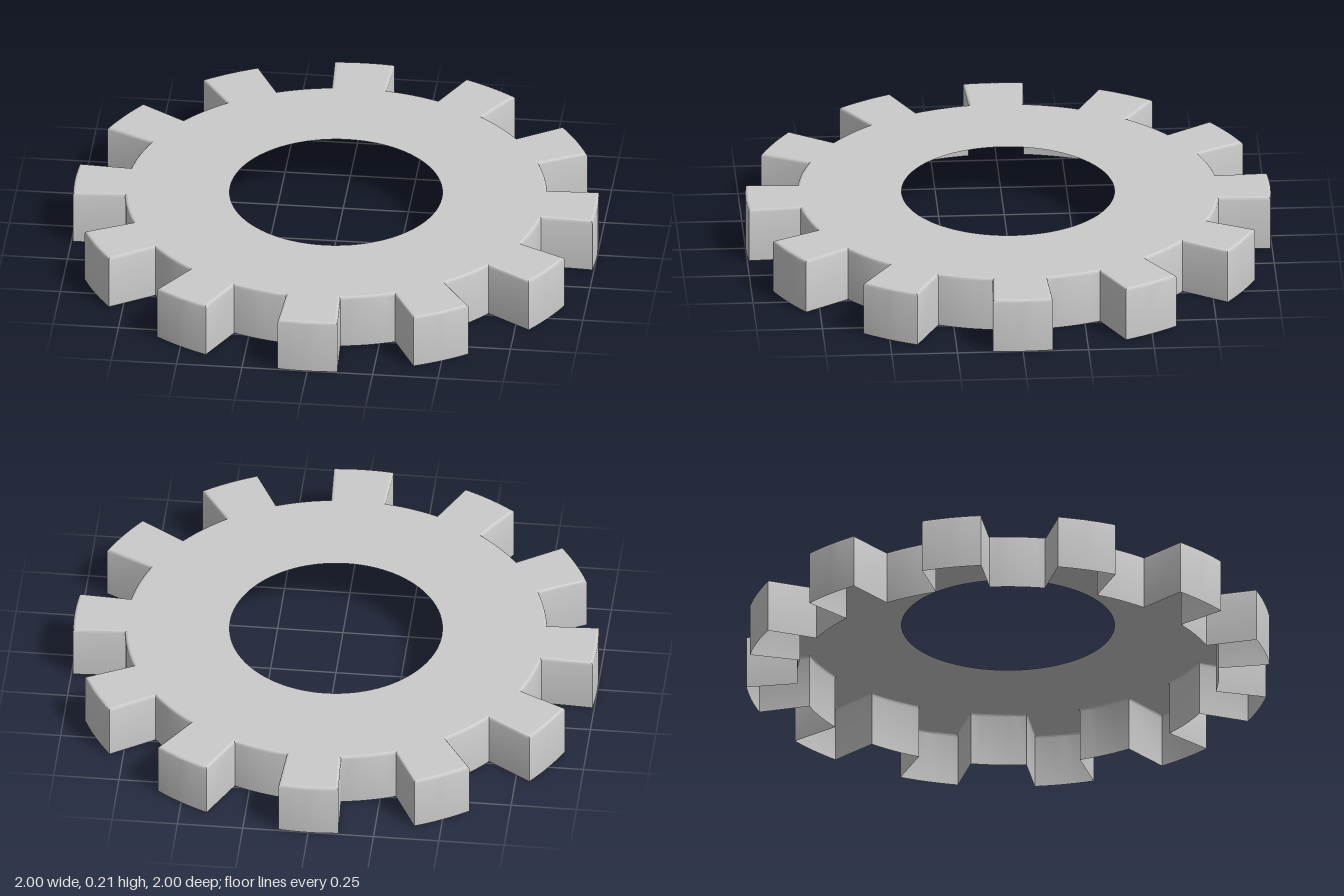
import * as THREE from 'three';
import { toCreasedNormals } from 'three/addons/utils/BufferGeometryUtils.js';

const TEETH = 12, TIP_R = 1, ROOT_R = 0.803, HOLE_R = 0.405, HEIGHT = 0.213, BEVEL = 0.01;
const TIP_HALF = 0.115, ROOT_HALF = 0.13; // half angles of a tooth at tip and root

// Gear outline, counter-clockwise, drawn in by an inset
function outline(inset) {
  const pts = [];
  const arc = (r, from, to, steps) => {
    for (let i = 0; i <= steps; i++) {
      const a = from + (to - from) * i / steps;
      pts.push(new THREE.Vector2(r * Math.cos(a), r * Math.sin(a)));
    }
  };
  const pitch = 2 * Math.PI / TEETH;
  const tip = TIP_R - inset, root = ROOT_R - inset;
  const tipHalf = TIP_HALF - inset / tip, rootHalf = ROOT_HALF - inset / root;
  for (let t = 0; t < TEETH; t++) {
    const mid = t * pitch;
    arc(tip, mid - tipHalf, mid + tipHalf, 6);
    arc(root, mid + rootHalf, mid + pitch - rootHalf, 6);
  }
  return pts;
}

// Rim wall lofted from the open bottom to the rounded top edge
function rimGeometry() {
  const rings = [{ y: 0, pts: outline(0) }];
  for (let i = 0; i <= 3; i++) {
    const a = i / 3 * Math.PI / 2;
    rings.push({ y: HEIGHT - BEVEL * (1 - Math.sin(a)), pts: outline(BEVEL * (1 - Math.cos(a))) });
  }
  const n = rings[0].pts.length, pos = [], index = [];
  for (const { y, pts } of rings) for (const p of pts) pos.push(p.x, y, -p.y);
  for (let k = 0; k < rings.length - 1; k++) {
    for (let i = 0; i < n; i++) {
      const j = (i + 1) % n;
      const a = k * n + i, b = k * n + j, c = b + n, d = a + n;
      index.push(a, b, c, a, c, d);
    }
  }
  const geo = new THREE.BufferGeometry();
  geo.setAttribute('position', new THREE.Float32BufferAttribute(pos, 3));
  geo.setIndex(index);
  return toCreasedNormals(geo, 0.6);
}

// Thin top plate with the round centre hole
function plateGeometry() {
  const shape = new THREE.Shape(outline(BEVEL));
  shape.holes.push(new THREE.Path().absarc(0, 0, HOLE_R, 0, Math.PI * 2, true));
  return new THREE.ShapeGeometry(shape, 48).rotateX(-Math.PI / 2).translate(0, HEIGHT, 0);
}

export function createModel() {
  const group = new THREE.Group();
  group.name = 'gear';
  const material = new THREE.MeshStandardMaterial({ color: 0xcccccc, side: THREE.DoubleSide });
  const add = (name, geo) => {
    const mesh = new THREE.Mesh(geo, material);
    mesh.name = name;
    group.add(mesh);
  };
  add('topPlate', plateGeometry());
  add('toothedRim', rimGeometry());
  return group;
}
